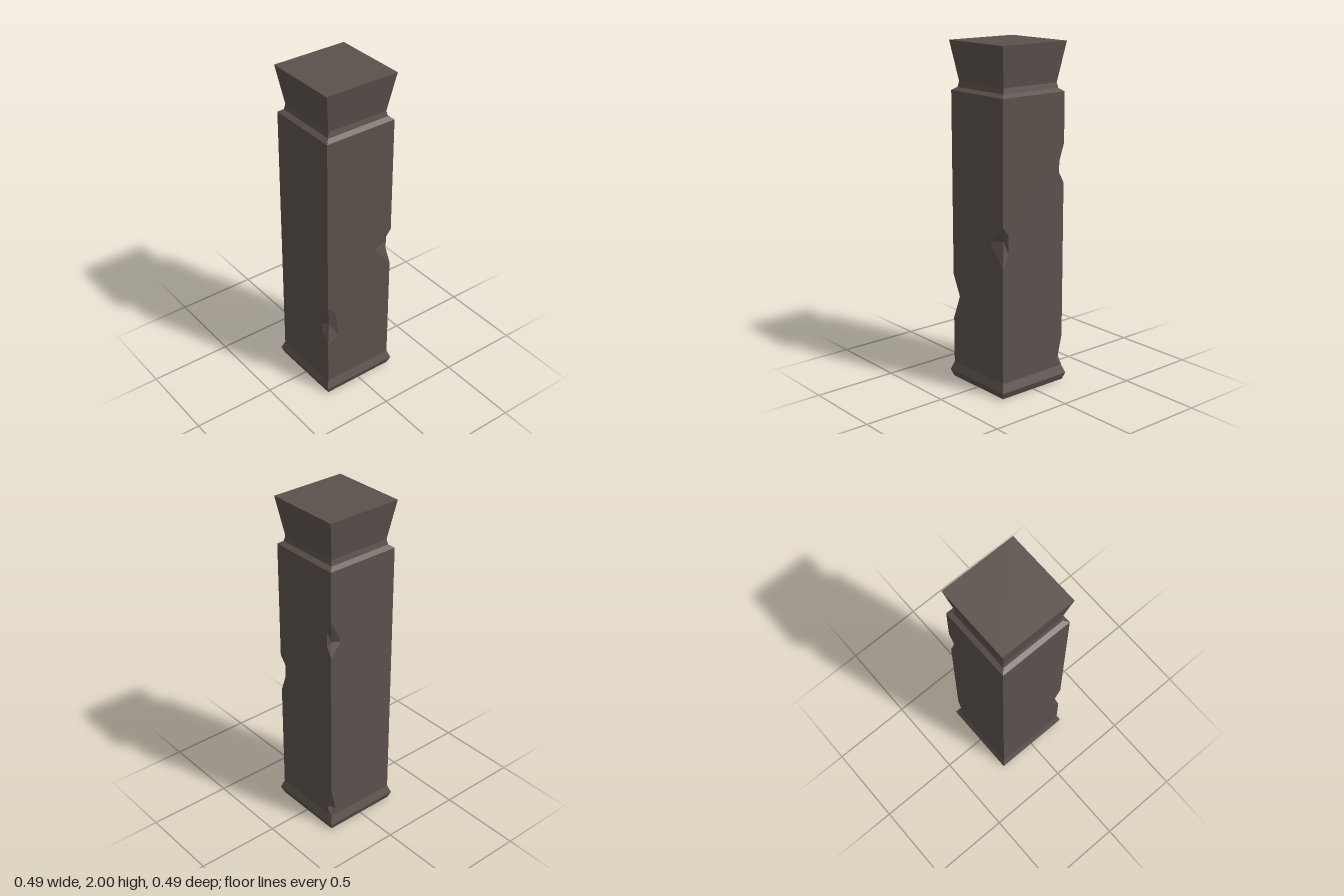
import * as THREE from 'three';

const H = 0.225;        // half width of the shaft
const Y0 = 0.09;        // shaft bottom
const Y1 = 1.72;        // shaft top

// Chips knocked out of the vertical edges, listed from the top down.
// corner: 0 = +x+z, 1 = +x-z, 2 = -x-z. near / far: [distance from edge, y]
// points on the two faces that meet there.
const chips = [
  { corner: 2, top: 1.43, bottom: 1.2, mid: 1.28, inset: 0.025, near: [[0.035, 1.35], [0.035, 1.26]], far: [[0.07, 1.28]] },
  { corner: 1, top: 1.01, bottom: 0.77, mid: 0.92, inset: 0.028, near: [[0.115, 0.91]], far: [[0.04, 0.96], [0.04, 0.85]] },
  { corner: 0, top: 0.64, bottom: 0.37, mid: 0.5, inset: 0.025, near: [[0.058, 0.5], [0.045, 0.41]], far: [[0.055, 0.58], [0.075, 0.41]] },
  { corner: 2, top: 0.28, bottom: Y0, mid: 0.14, inset: 0.02, near: [[0.04, 0.14]], far: [[0.03, 0.14]] },
];

// One shaft face with the chips cut out of its outline
function faceGeometry(k) {
  const pts = [[-H, Y0], [H, Y0]];
  const right = chips.filter((c) => c.corner === k).reverse();
  const left = chips.filter((c) => c.corner === (k + 3) % 4);
  for (const c of right) {
    pts.push([H, c.bottom]);
    for (const [d, y] of [...c.near].reverse()) pts.push([H - d, y]);
    pts.push([H, c.top]);
  }
  pts.push([H, Y1], [-H, Y1]);
  for (const c of left) {
    pts.push([-H, c.top]);
    for (const [d, y] of c.far) pts.push([d - H, y]);
    pts.push([-H, c.bottom]);
  }
  // drop repeated corners
  const clean = pts.filter((p, i) => {
    const q = pts[(i + 1) % pts.length];
    return Math.hypot(p[0] - q[0], p[1] - q[1]) > 1e-6;
  });
  const shape = new THREE.Shape(clean.map(([x, y]) => new THREE.Vector2(x, y)));
  return new THREE.ShapeGeometry(shape).translate(0, 0, H).rotateY(k * Math.PI / 2);
}

// Fan of facets from the sunken edge point to the rim of a chip
function chipGeometry(c) {
  const rim = [
    [H, c.top, H],
    ...c.near.map(([d, y]) => [H - d, y, H]),
    [H, c.bottom, H],
    ...[...c.far].reverse().map(([d, y]) => [H, y, H - d]),
  ];
  const centre = [H - c.inset, c.mid, H - c.inset];
  const pos = [];
  rim.forEach((p, i) => pos.push(...centre, ...p, ...rim[(i + 1) % rim.length]));
  const g = new THREE.BufferGeometry();
  g.setAttribute('position', new THREE.Float32BufferAttribute(pos, 3));
  g.rotateY(c.corner * Math.PI / 2);
  g.computeVertexNormals();
  return g;
}

// Square tapered ring between two heights
function frustum(y0, h0, y1, h1) {
  const g = new THREE.CylinderGeometry(h1 * Math.SQRT2, h0 * Math.SQRT2, y1 - y0, 4, 1, true)
    .rotateY(Math.PI / 4)
    .translate(0, (y0 + y1) / 2, 0)
    .toNonIndexed();
  g.computeVertexNormals();
  return g;
}

export function createModel() {
  const root = new THREE.Group();
  root.name = 'stonePillar';
  const stone = new THREE.MeshStandardMaterial({ color: 0x5b514c });
  stone.name = 'brownGreyStone';

  const add = (name, geometry) => {
    const mesh = new THREE.Mesh(geometry, stone);
    mesh.name = name;
    root.add(mesh);
  };

  // Base
  add('baseUnderside', new THREE.PlaneGeometry(0.456, 0.456).rotateX(Math.PI / 2));
  add('baseLowerBevel', frustum(0, 0.228, 0.04, 0.243));
  add('baseUpperBevel', frustum(0.04, 0.243, Y0, H));

  // Shaft
  for (let k = 0; k < 4; k++) add('shaftFace' + k, faceGeometry(k));
  chips.forEach((c, i) => add('edgeChip' + i, chipGeometry(c)));
  add('shoulder', frustum(Y1, H, 1.738, 0.2));

  // Capital
  add('neck', frustum(1.738, 0.2, 1.77, 0.193));
  add('capital', frustum(1.77, 0.193, 2, 0.231));
  add('capitalTop', new THREE.PlaneGeometry(0.462, 0.462).rotateX(-Math.PI / 2).translate(0, 2, 0));
  return root;
}
